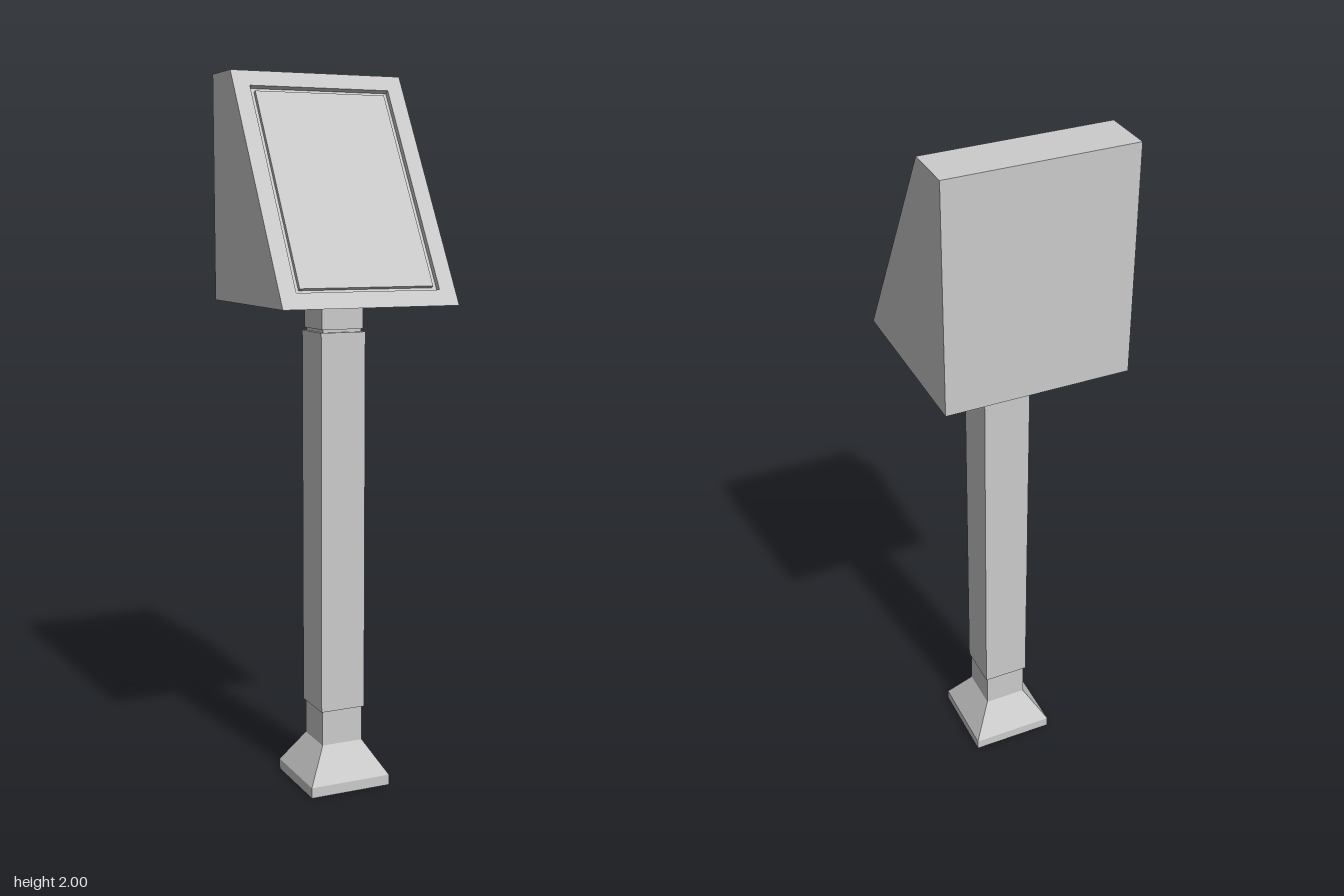
import * as THREE from 'three';

const material = new THREE.MeshStandardMaterial({ color: 0xcccccc, flatShading: true });

function addMesh(group, geometry, name) {
  const mesh = new THREE.Mesh(geometry, material);
  mesh.name = name;
  group.add(mesh);
}

// Square column from [half width, height] steps, bottom to top
function squareColumn(steps) {
  const points = steps.map(([half, y]) => new THREE.Vector2(half * Math.SQRT2, y));
  const geometry = new THREE.LatheGeometry(points, 4, Math.PI / 4).toNonIndexed();
  geometry.computeVertexNormals();
  return geometry;
}

// Closed skin through four-cornered rings, capped at both ends
function loftRings(rings) {
  const positions = [];
  const quad = (a, b, c, d) => [a, b, c, a, c, d].forEach((p) => positions.push(...p));
  for (let r = 0; r < rings.length - 1; r++) {
    for (let i = 0; i < 4; i++) {
      const j = (i + 1) % 4;
      quad(rings[r][i], rings[r][j], rings[r + 1][j], rings[r + 1][i]);
    }
  }
  const first = rings[0], last = rings[rings.length - 1];
  quad(first[3], first[2], first[1], first[0]);
  quad(...last);
  const geometry = new THREE.BufferGeometry();
  geometry.setAttribute('position', new THREE.Float32BufferAttribute(positions, 3));
  geometry.computeVertexNormals();
  return geometry;
}

export function createModel() {
  const group = new THREE.Group();

  // Flared foot with a short neck
  addMesh(group, squareColumn([
    [0, 0], [0.12, 0], [0.12, 0.03], [0.061, 0.125], [0.061, 0.225],
  ]), 'foot');

  // Main post with a slight lip at its lower end
  addMesh(group, squareColumn([
    [0, 0.225], [0.066, 0.225], [0.066, 1.297], [0, 1.297],
  ]), 'post');

  // Upper neck, set off from the post by a narrow notch
  addMesh(group, squareColumn([
    [0.057, 1.297], [0.057, 1.305], [0.061, 1.305], [0.061, 1.38],
  ]), 'upperNeck');

  // Wedge cabinet: corners run anticlockwise as seen from the front
  const halfWidth = 0.254, bottom = 1.375, top = 2, back = -0.254;
  const lowZ = 0.254, highZ = -0.113;
  const ring = (x, yLow, zLow, yHigh, zHigh) => [
    [-x, yLow, zLow], [x, yLow, zLow], [x, yHigh, zHigh], [-x, yHigh, zHigh],
  ];

  // Ring on the sloping front, inset from its edges and sunk below it
  const length = Math.hypot(top - bottom, lowZ - highZ);
  const rise = (top - bottom) / length, run = (lowZ - highZ) / length;
  const slopeRing = (x, inset, depth) => {
    const y = (u) => bottom + u * rise - depth * run;
    const z = (u) => lowZ - u * run - depth * rise;
    return ring(x, y(inset), z(inset), y(length - inset), z(length - inset));
  };

  // Front has a groove around a slightly sunken screen panel
  addMesh(group, loftRings([
    ring(halfWidth, bottom, back, top, back),
    slopeRing(halfWidth, 0, 0),
    slopeRing(0.207, 0.048, 0),
    slopeRing(0.207, 0.048, 0.015),
    slopeRing(0.193, 0.062, 0.015),
    slopeRing(0.193, 0.062, 0.004),
  ]), 'cabinetWithScreen');

  return group;
}
